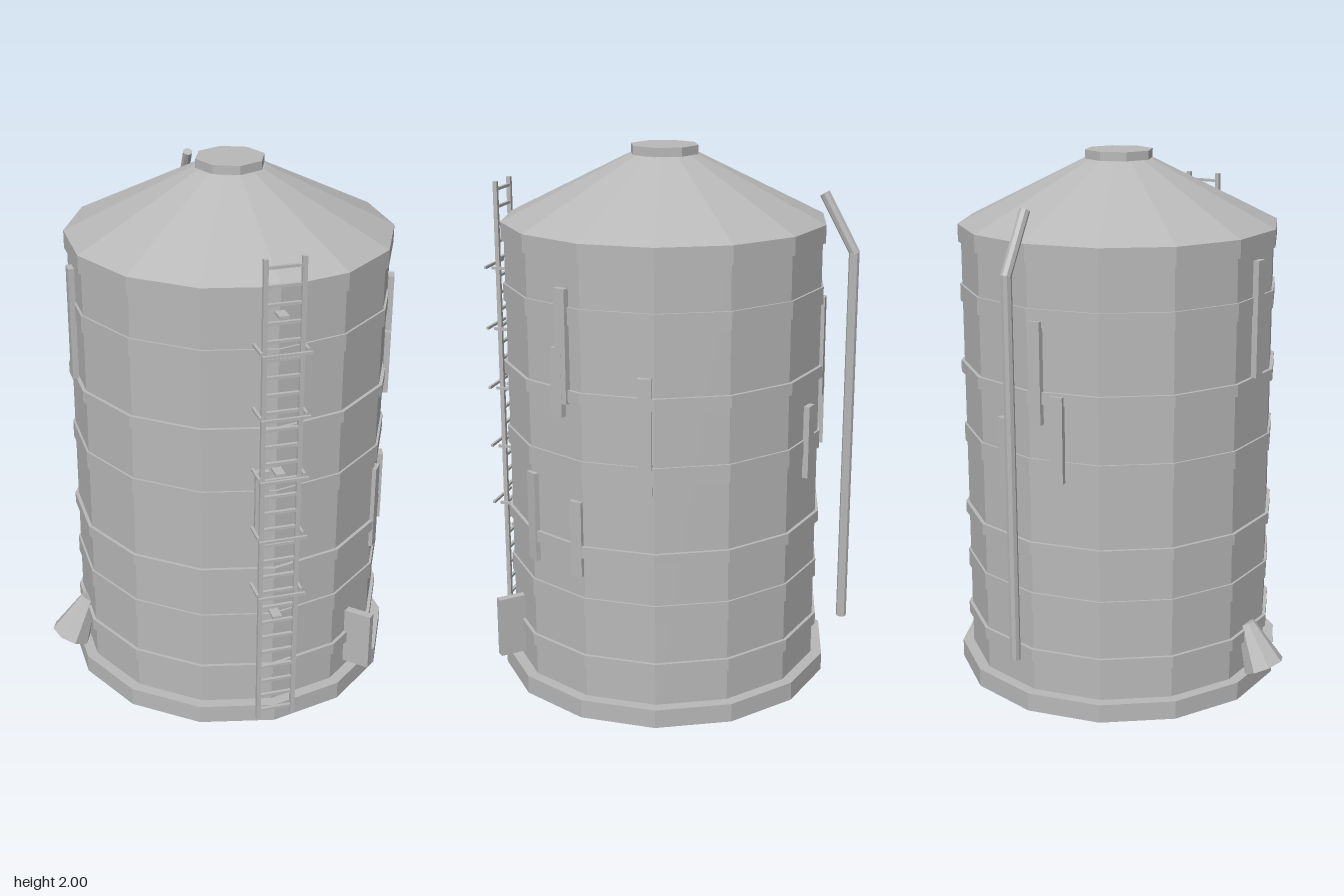
import * as THREE from 'three';

const SIDES = 14;

export function createModel() {
  const model = new THREE.Group();
  model.name = 'storageSilo';
  const steel = new THREE.MeshStandardMaterial({ color: 0xb8b8b8, flatShading: true });
  steel.name = 'galvanised grey';

  // Everything is placed relative to the tank axis
  const silo = new THREE.Group();
  silo.name = 'silo';
  silo.position.set(0.053, 0, 0.017);
  model.add(silo);

  function add(name, geometry, x = 0, y = 0, z = 0, parent = silo) {
    const mesh = new THREE.Mesh(geometry, steel);
    mesh.name = name;
    mesh.position.set(x, y, z);
    parent.add(mesh);
    return mesh;
  }

  function drum(name, bottom, top, rBottom, rTop = rBottom, sides = SIDES) {
    return add(name, new THREE.CylinderGeometry(rTop, rBottom, top - bottom, sides), 0, (bottom + top) / 2);
  }

  // Straight round bar between two points
  function rod(name, a, b, rTop, rBottom = rTop, sides = 8) {
    const dir = b.clone().sub(a);
    const mesh = add(name, new THREE.CylinderGeometry(rTop, rBottom, dir.length(), sides));
    mesh.position.copy(a).add(b).multiplyScalar(0.5);
    mesh.quaternion.setFromUnitVectors(new THREE.Vector3(0, 1, 0), dir.normalize());
    return mesh;
  }

  // Tank, foundation, roof and cap
  drum('foundation', 0, 0.07, 0.628);
  drum('tankWall', 0.07, 1.735, 0.586);
  drum('roof', 1.735, 1.968, 0.597, 0.128);
  drum('roofCap', 1.965, 2, 0.127, 0.127, 8);

  // Reinforcing bands, alternating narrow and wide
  const bands = [
    [0.19, 0.235, 0.599], [0.39, 0.458, 0.594], [0.614, 0.656, 0.599], [0.905, 0.972, 0.594],
    [1.176, 1.22, 0.599], [1.448, 1.512, 0.594], [1.67, 1.735, 0.597],
  ];
  for (const [bottom, top, r] of bands) drum('wallBand', bottom, top, r);

  // Vertical patch plates: angle from the front in degrees, bottom, top
  const patches = [
    [52.5, 0.54, 0.875], [74.5, 0.54, 0.82], [69.5, 1.17, 1.575], [67.5, 1.12, 1.365],
    [99.7, 0.87, 1.29], [168.5, 0.83, 1.1], [183, 1.1, 1.47], [191, 0.895, 1.21],
    [270, 1.22, 1.645], [-5, 0.83, 1.055],
  ];
  for (const [deg, bottom, top] of patches) {
    const a = THREE.MathUtils.degToRad(deg);
    const r = 0.587;
    const plate = add('patchPlate', new THREE.BoxGeometry(0.048, top - bottom, 0.022),
      Math.sin(a) * r, (bottom + top) / 2, Math.cos(a) * r);
    plate.rotation.y = a;
  }

  // Control box near the foot of the wall
  const box = add('controlBox', new THREE.BoxGeometry(0.03, 0.23, 0.115), 0.371, 0.215, 0.494);
  box.rotation.y = Math.PI / 4;

  // Ladder
  const ladder = new THREE.Group();
  ladder.name = 'ladder';
  ladder.position.set(0, 0, 0.633);
  silo.add(ladder);
  for (const side of [-1, 1]) {
    add('ladderRail', new THREE.BoxGeometry(0.016, 1.82, 0.016), side * 0.066, 0.94, 0, ladder);
  }
  for (let i = 0; i < 28; i++) {
    add('ladderRung', new THREE.BoxGeometry(0.125, 0.01, 0.012), 0, 0.065 + i * 0.065, 0, ladder);
  }
  // Wall brackets and safety bars
  for (let i = 0; i < 5; i++) {
    const y = 0.587 + i * 0.235;
    for (const side of [-1, 1]) {
      add('ladderBracket', new THREE.BoxGeometry(0.01, 0.01, 0.085), side * 0.081, y, -0.024, ladder);
    }
    add('safetyBar', new THREE.BoxGeometry(0.175, 0.01, 0.009), 0, y, 0.045, ladder);
  }
  for (const y of [0.47, 1.057, 1.643]) {
    add('ladderTie', new THREE.BoxGeometry(0.035, 0.01, 0.06), 0, y, -0.026, ladder);
  }

  // Fill pipe at the back with a bend towards the roof
  const bend = new THREE.Vector3(0, 1.645, -0.699);
  rod('fillPipe', new THREE.Vector3(0, 0.24, -0.699), bend, 0.019);
  rod('fillPipeBend', bend.clone().add(new THREE.Vector3(0, -0.008, -0.004)),
    new THREE.Vector3(0, 1.848, -0.588), 0.019);

  // Discharge chute, widening downwards
  rod('dischargeChute', new THREE.Vector3(-0.65, 0.092, 0), new THREE.Vector3(-0.572, 0.25, 0), 0.032, 0.08);

  return model;
}
